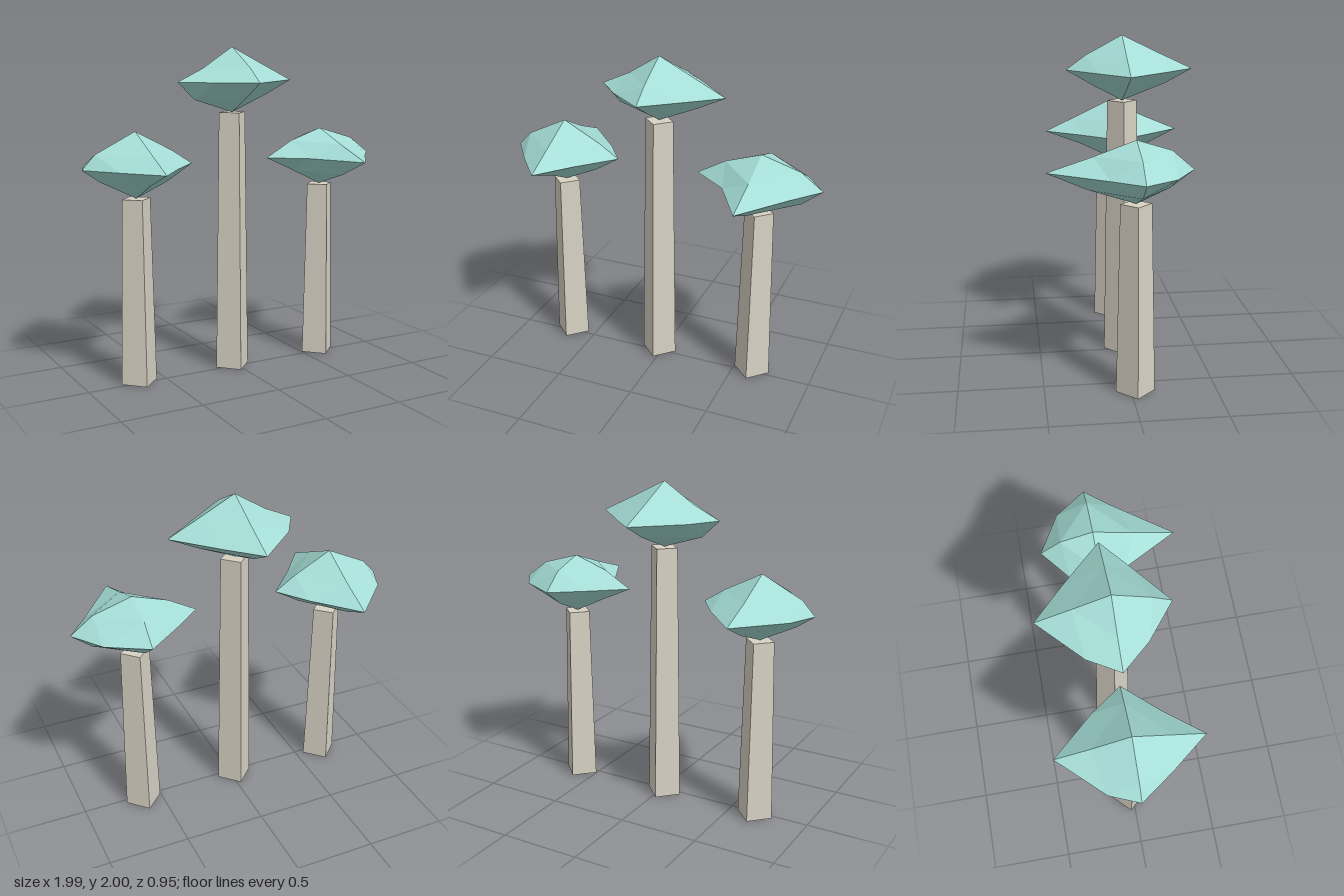
import * as THREE from 'three';

const trunkMaterial = new THREE.MeshStandardMaterial({ color: 0xd8d2c4, flatShading: true });
const leafMaterial = new THREE.MeshStandardMaterial({ color: 0xa5ddd6, flatShading: true });

// Each canopy lists distances from its centre:
// six tips (+x -x +y -y +z -z), then the edge midpoints as pairs
// in the xy, xz and yz planes, each ordered ++, +-, -+, --.
const trees = [
  { name: 'leftHandTree', x: -0.665, height: 1.125, canopy: [
    0.365, 0.33, 0.207, 0.187, 0.436, 0.447,
    0.234, 0.085, 0.207, 0.096, 0.25, 0.085, 0.223, 0.075,
    0.175, 0.21, 0.23, 0.19, 0.18, 0.21, 0.255, 0.18,
    0.09, 0.245, 0.09, 0.23, 0.09, 0.2, 0.09, 0.265] },
  { name: 'tallTree', x: -0.025, height: 1.608, canopy: [
    0.415, 0.365, 0.205, 0.187, 0.338, 0.427,
    0.22, 0.095, 0.24, 0.085, 0.195, 0.08, 0.253, 0.106,
    0.225, 0.157, 0.18, 0.25, 0.213, 0.17, 0.255, 0.186,
    0.085, 0.223, 0.1, 0.213, 0.1, 0.165, 0.085, 0.266] },
  { name: 'rightHandTree', x: 0.617, height: 1.125, canopy: [
    0.376, 0.394, 0.172, 0.187, 0.5, 0.325,
    0.24, 0.1, 0.255, 0.096, 0.218, 0.1, 0.2, 0.09,
    0.24, 0.17, 0.24, 0.19, 0.18, 0.17, 0.197, 0.17,
    0.085, 0.24, 0.11, 0.2, 0.1, 0.27, 0.1, 0.19] },
];

// Subdivided octahedron with every corner moved to its own distance
function canopyGeometry(d) {
  const geometry = new THREE.OctahedronGeometry(1, 1);
  const position = geometry.attributes.position;
  for (let i = 0; i < position.count; i++) {
    const p = [position.getX(i), position.getY(i), position.getZ(i)];
    const axes = [0, 1, 2].filter((k) => Math.abs(p[k]) > 0.01);
    const negative = axes.map((k) => (p[k] < 0 ? 1 : 0));
    const start = axes.length === 1
      ? axes[0] * 2 + negative[0]
      : 6 + (axes[0] + axes[1] - 1) * 8 + negative[0] * 4 + negative[1] * 2;
    const out = [0, 0, 0];
    axes.forEach((k, j) => { out[k] = d[start + j] * Math.sign(p[k]); });
    position.setXYZ(i, ...out);
  }
  geometry.computeVertexNormals();
  return geometry;
}

export function createModel() {
  const model = new THREE.Group();
  model.name = 'trees';
  for (const { name, x, height, canopy } of trees) {
    const tree = new THREE.Group();
    tree.name = name;
    tree.position.set(x, 0, -0.027);

    // Square tapering trunk, standing corner-on
    const trunk = new THREE.Mesh(new THREE.CylinderGeometry(0.09, 0.114, height, 4), trunkMaterial);
    trunk.name = 'trunk';
    trunk.position.y = height / 2;

    // Faceted canopy whose lower tip rests on the trunk
    const crown = new THREE.Mesh(canopyGeometry(canopy), leafMaterial);
    crown.name = 'canopy';
    crown.position.y = height + canopy[3];

    tree.add(trunk, crown);
    model.add(tree);
  }
  return model;
}
